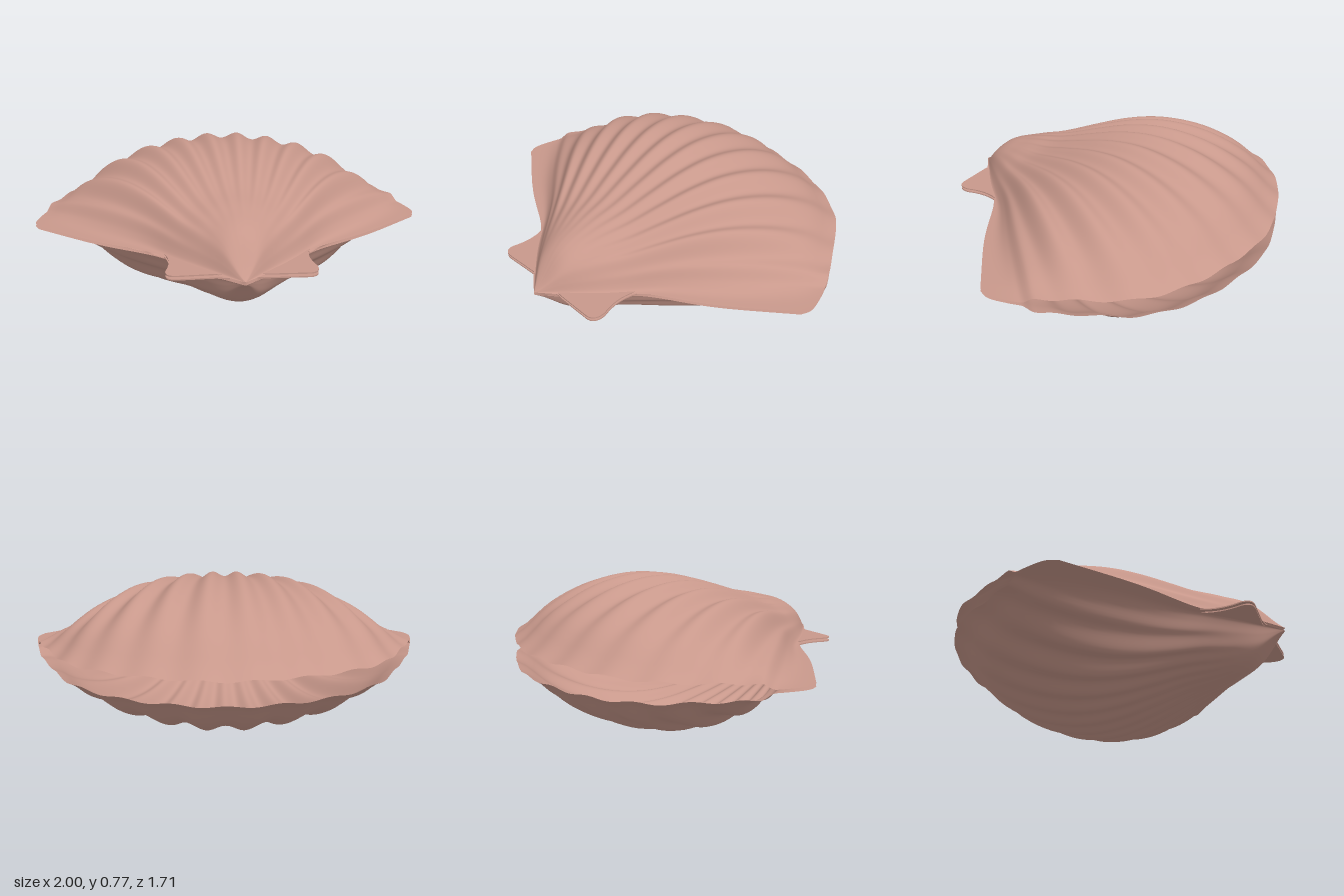
import * as THREE from 'three';

const DEG = Math.PI / 180;
const HINGE_Z = 0.857;
const MAX_ANGLE = 52.4;

// Smooth interpolation through evenly spaced values, k from 0 to 1
function sample(values, k) {
  const n = values.length - 1;
  const f = THREE.MathUtils.clamp(k, 0, 1) * n;
  const i = Math.min(Math.floor(f), n - 1);
  const s = f - i;
  const at = (j) => values[THREE.MathUtils.clamp(j, 0, n)];
  const m0 = (at(i + 1) - at(i - 1)) / 2;
  const m1 = (at(i + 2) - at(i)) / 2;
  const s2 = s * s, s3 = s2 * s;
  return (2 * s3 - 3 * s2 + 1) * at(i) + (s3 - 2 * s2 + s) * m0 +
    (3 * s2 - 2 * s3) * at(i + 1) + (s3 - s2) * m1;
}

// Dome height from hinge to rim, and how it falls off towards the sides
const domeProfile = [0, 0.165, 0.227, 0.263, 0.315, 0.36, 0.378, 0.358, 0.3, 0.2, 0.05];
const sideFalloff = [1, 0.99, 0.96, 0.92, 0.86, 0.78, 0.67, 0.52, 0.29, 0.05, 0];

// Half of the outline in (x, z), mirrored into a full rim curve
const halfRim = [[0.24, -0.82], [0.5, -0.73], [0.72, -0.57], [0.88, -0.3],
  [0.945, -0.17], [0.985, -0.05], [1.0, 0.05], [0.98, 0.1]];
const rimCurve = new THREE.CatmullRomCurve3([
  ...halfRim.map(([x, z]) => new THREE.Vector3(-x, 0, z)).reverse(),
  new THREE.Vector3(0, 0, -0.855),
  ...halfRim.map(([x, z]) => new THREE.Vector3(x, 0, z)),
], false, 'centripetal');

// Height of the ribbed shell above its hinge plane
function shellHeight(angle, t) {
  const { smoothstep } = THREE.MathUtils;
  const a = Math.abs(angle);
  const dome = (sample(domeProfile, t) - 0.05 * t) * sample(sideFalloff, a / MAX_ANGLE);
  // raised lip that leaves the valves gaping at the back
  const lip = (0.05 - 0.02 * smoothstep(a, 10, 42)) * t * t * (1 - smoothstep(a, 42.5, 45));
  // ribs fade in from the hinge and flatten near the rim
  const strength = smoothstep(t, 0.12, 0.65) * (1 - 0.65 * smoothstep(t, 0.75, 1)) *
    (1 - smoothstep(a, 38, 45));
  const ribs = -Math.cos(a * Math.PI / 4) * (0.015 + 0.004 * a / 40) * strength;
  return Math.max(0, dome + lip + ribs);
}

// One valve: a fan of spokes from the hinge to the rim; side is 1 (upper) or -1 (lower)
function valveGeometry(side) {
  const spokes = 240, rings = 48;
  const positions = [], index = [];
  for (let i = 0; i <= spokes; i++) {
    const rim = rimCurve.getPointAt(i / spokes);
    const angle = Math.atan2(rim.x, HINGE_Z - rim.z) / DEG;
    const edge = Math.pow(Math.min(1, Math.abs(angle) / MAX_ANGLE), 6);
    for (let j = 0; j <= rings; j++) {
      const t = 0.002 + 0.998 * Math.pow(j / rings, 1.3);
      const waist = 1 - 0.17 * edge * Math.exp(-Math.pow((t - 0.42) / 0.17, 2));
      positions.push(
        rim.x * t * waist,
        0.3925 + side * (0.0075 + shellHeight(angle, t)),
        HINGE_Z + (rim.z - HINGE_Z) * t);
      if (i < spokes && j < rings) {
        const a = i * (rings + 1) + j, b = a + rings + 1;
        if (side > 0) index.push(a, b, a + 1, b, b + 1, a + 1);
        else index.push(a, a + 1, b, b, a + 1, b + 1);
      }
    }
  }
  const geometry = new THREE.BufferGeometry();
  geometry.setAttribute('position', new THREE.Float32BufferAttribute(positions, 3));
  geometry.setIndex(index);
  geometry.computeVertexNormals();
  return geometry;
}

// Flat ear beside the hinge; mirror is 1 (left) or -1 (right)
function earGeometry(mirror) {
  const back = mirror > 0 ? 0.79 : 0.772;
  const s = new THREE.Shape();
  s.moveTo(0.06 * mirror, -0.78);
  s.lineTo(0.12 * mirror, -back + 0.005);
  s.lineTo(0.29 * mirror, -back);
  s.quadraticCurveTo(0.345 * mirror, -back, 0.34 * mirror, -0.72);
  s.quadraticCurveTo(0.305 * mirror, -0.61, 0.345 * mirror, -0.52);
  s.lineTo(0.2 * mirror, -0.6);
  s.closePath();
  const geometry = new THREE.ExtrudeGeometry(s, { depth: 0.006, bevelEnabled: false, curveSegments: 10 });
  return geometry.rotateX(-Math.PI / 2);
}

export function createModel() {
  const model = new THREE.Group();
  model.name = 'scallopShell';
  const shell = new THREE.MeshStandardMaterial({ color: 0xc8988b, side: THREE.DoubleSide });
  shell.name = 'dusty pink shell';

  for (const side of [1, -1]) {
    const valve = new THREE.Group();
    valve.name = side > 0 ? 'upperValve' : 'lowerValve';
    const fan = new THREE.Mesh(valveGeometry(side), shell);
    fan.name = 'ribbedFan';
    valve.add(fan);
    for (const mirror of [1, -1]) {
      const ear = new THREE.Mesh(earGeometry(mirror), shell);
      ear.name = mirror > 0 ? 'leftEar' : 'rightEar';
      ear.position.y = side > 0 ? 0.398 : 0.381;
      valve.add(ear);
    }
    model.add(valve);
  }
  return model;
}
